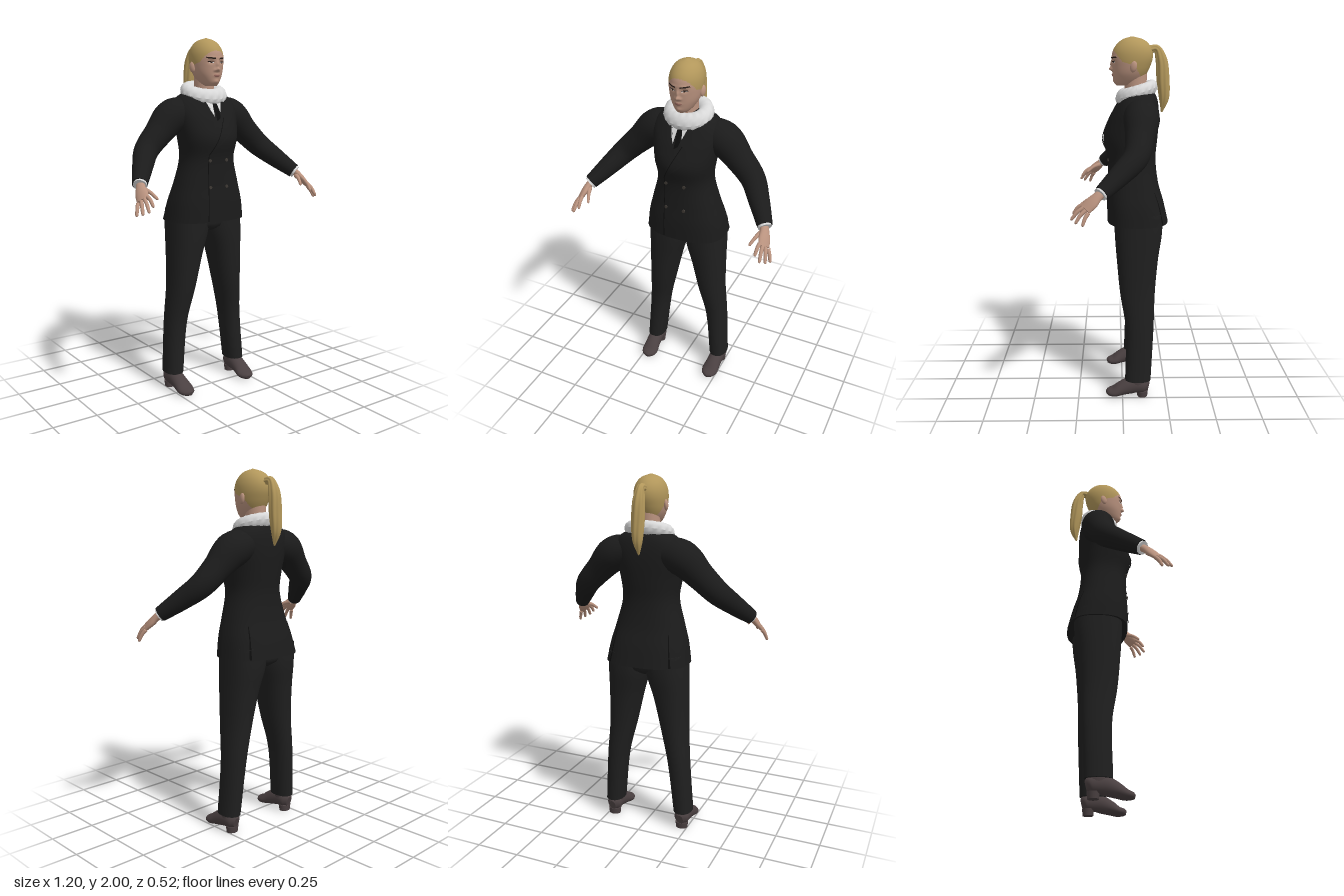
import * as THREE from 'three';

const mat = (name, color, double) => {
  const m = new THREE.MeshStandardMaterial({ color });
  m.name = name;
  if (double) m.side = THREE.DoubleSide;
  return m;
};
const V = (x, y, z) => new THREE.Vector3(x, y, z);

// Smoothly interpolates rows keyed by their first number
const sampler = rows => y => {
  let i = 0;
  while (i < rows.length - 2 && y > rows[i + 1][0]) i++;
  const a = rows[i], b = rows[i + 1], p = rows[i - 1] ?? a, n = rows[i + 2] ?? b;
  const h = b[0] - a[0], t = (y - a[0]) / h, t2 = t * t, t3 = t2 * t;
  return a.map((_, k) => (2 * t3 - 3 * t2 + 1) * a[k] + (3 * t2 - 2 * t3) * b[k]
    + (t3 - 2 * t2 + t) * h * (b[k] - p[k]) / (b[0] - p[0])
    + (t3 - t2) * h * (n[k] - a[k]) / (n[0] - a[0]));
};

// Skins a list of equal rings, with flat caps
function loft(rings) {
  const n = rings[0].length, pos = [], idx = [];
  const add = v => pos.push(v.x, v.y, v.z) / 3 - 1;
  rings.forEach(r => r.forEach(add));
  for (let i = 0; i < rings.length - 1; i++) for (let j = 0; j < n; j++) {
    const a = i * n + j, b = i * n + (j + 1) % n;
    idx.push(a, a + n, b, b, a + n, b + n);
  }
  [rings[0], rings.at(-1)].forEach((r, top) => {
    const c = add(r.reduce((s, v) => s.add(v), V(0, 0, 0)).divideScalar(n)), s = c + 1;
    r.forEach(add);
    for (let j = 0; j < n; j++) {
      const k = (j + 1) % n;
      idx.push(c, s + (top ? k : j), s + (top ? j : k));
    }
  });
  const g = new THREE.BufferGeometry();
  g.setAttribute('position', new THREE.Float32BufferAttribute(pos, 3));
  g.setIndex(idx);
  g.computeVertexNormals();
  return g;
}

// Upright body from rows [y, half width, front z, back z, centre x, squareness]
function body(rows, steps, n, bump = () => 0) {
  const at = sampler(rows), y0 = rows[0][0], y1 = rows.at(-1)[0], rings = [];
  const pw = (c, p) => Math.sign(c) * Math.abs(c) ** (2 / p);
  for (let i = 0; i <= steps; i++) {
    const y = y0 + (y1 - y0) * (0.5 - 0.5 * Math.cos(Math.PI * i / steps));
    const [, w, f, b, cx, p] = at(y);
    rings.push(Array.from({ length: n }, (_, j) => {
      const a = j / n * Math.PI * 2, x = w * pw(Math.cos(a), p), s = pw(Math.sin(a), p);
      return V(cx + x, y, (f + b) / 2 + s * (f - b) / 2 + (s > 0 ? bump(x, y) * Math.min(1, s * 2) : 0));
    }));
  }
  const surface = (x, y, side) => {
    const [, w, f, b, cx, p] = at(y);
    const s = Math.max(0, 1 - Math.abs((x - cx) / w) ** p) ** (1 / p);
    return (f + b) / 2 + side * s * (f - b) / 2 + (side > 0 ? bump(x, y) : 0);
  };
  return { geometry: loft(rings), surface };
}

// Limb along points [x, y, z, wide radius, thin radius], wide axis near ref
function limb(pts, ref, steps = 20, n = 20, ripple = 0) {
  const curve = new THREE.CatmullRomCurve3(pts.map(p => V(p[0], p[1], p[2])));
  const radii = sampler(pts.map((p, i) => [i, p[3], p[4] ?? p[3]]));
  const rings = [];
  for (let i = 0; i <= steps; i++) {
    const t = i / steps, c = curve.getPoint(t), d = curve.getTangent(t);
    const [, ru, rv] = radii(t * (pts.length - 1));
    const u = ref.clone().addScaledVector(d, -ref.dot(d)).normalize(), v = u.clone().cross(d);
    rings.push(Array.from({ length: n }, (_, j) => {
      const a = j / n * Math.PI * 2, k = 1 + ripple * Math.cos(a * 7 + t * 5);
      return c.clone().addScaledVector(u, ru * k * Math.cos(a)).addScaledVector(v, rv * k * Math.sin(a));
    }));
  }
  return loft(rings);
}

// Thin four-cornered plate laid over a body surface
function patch(surface, q, lift = 0.003, side = 1, n = 12) {
  const g = new THREE.PlaneGeometry(1, 1, n, n), p = g.attributes.position;
  for (let i = 0; i < p.count; i++) {
    const s = p.getX(i) + 0.5, t = 0.5 - p.getY(i);
    const [x, y] = [0, 1].map(k => (1 - t) * ((1 - s) * q[0][k] + s * q[1][k]) + t * ((1 - s) * q[3][k] + s * q[2][k]));
    p.setXYZ(i, x, y, surface(x, y, side) + side * lift);
  }
  g.computeVertexNormals();
  return g;
}

export function createModel() {
  const model = new THREE.Group();
  model.name = 'womanInSuit';
  const suit = mat('suitBlack', 0x1b1b1b, true), cloth = mat('trouserBlack', 0x1f1f1f);
  const seam = mat('seamBlack', 0x0d0d0d, true), skin = mat('skin', 0xba937f);
  const hair = mat('blondHair', 0xb2975b), white = mat('white', 0xd8d8d8, true);
  const shoe = mat('shoeBrown', 0x4a4041), dark = mat('browDark', 0x2b1f1a, true);
  const lip = mat('lipRose', 0x9c6d62, true), button = mat('buttonGrey', 0x3d3833);
  const put = (name, g, m) => {
    const mesh = new THREE.Mesh(g, m);
    mesh.name = name;
    model.add(mesh);
    return mesh;
  };
  const flip = (q, s) => q.map(([x, y]) => [x * s, y]);

  // Jacket
  const jacket = body([
    [0.99, 0.235, 0.083, -0.258, 0, 2.6], [1.1, 0.217, 0.085, -0.232, 0, 2.5],
    [1.2, 0.19, 0.08, -0.203, 0, 2.4], [1.34, 0.156, 0.08, -0.186, 0, 2.3],
    [1.45, 0.168, 0.104, -0.195, 0, 2.3], [1.55, 0.185, 0.072, -0.202, 0, 2.4],
    [1.62, 0.193, 0.036, -0.2, 0, 2.4], [1.675, 0.165, 0.005, -0.19, 0, 2.3],
    [1.71, 0.105, -0.02, -0.17, 0, 2], [1.73, 0.06, -0.03, -0.14, 0, 2]], 48, 56);
  put('jacket', jacket.geometry, suit);
  const onJacket = (name, q, m, lift, side) => put(name, patch(jacket.surface, q, lift, side), m);
  onJacket('tie', [[-0.013, 1.67], [0.013, 1.67], [0.016, 1.57], [-0.014, 1.55]], seam, 0.005);
  onJacket('leftLapel', [[0.045, 1.66], [0.115, 1.63], [0.085, 1.51], [-0.07, 1.37]], suit, 0.007);
  onJacket('rightLapel', [[-0.045, 1.66], [-0.115, 1.63], [-0.09, 1.5], [-0.02, 1.52]], suit, 0.006);
  onJacket('lapelEdge', [[0.03, 1.57], [0.034, 1.57], [-0.067, 1.37], [-0.072, 1.37]], seam, 0.008);
  onJacket('frontEdge', [[-0.072, 1.37], [-0.068, 1.37], [-0.073, 0.995], [-0.078, 0.995]], seam);
  for (const s of [1, -1]) {
    onJacket('shirtCollar', flip([[0.01, 1.67], [0.055, 1.66], [0.036, 1.6], [0.024, 1.575]], s), white, 0.006);
    onJacket('backVent', flip([[0.15, 1.17], [0.153, 1.17], [0.182, 0.995], [0.172, 0.995]], s), seam, 0.003, -1);
    for (const y of [1.335, 1.187]) {
      const x = s > 0 ? 0.046 : -0.062;
      const b = put('button', new THREE.CylinderGeometry(0.009, 0.009, 0.008, 16), button);
      b.rotation.x = Math.PI / 2;
      b.position.set(x, y, jacket.surface(x, y, 1) + 0.002);
    }
  }

  // Fluffy scarf, low at the front and high at the back
  const ring = new THREE.TorusGeometry(0.093, 0.044, 20, 72).rotateX(Math.PI / 2);
  const rp = ring.attributes.position;
  for (let i = 0; i < rp.count; i++) {
    const x = rp.getX(i), y = rp.getY(i), z = rp.getZ(i), a = Math.atan2(z, x);
    const k = 1 + 0.02 * Math.sin(a * 17) * Math.cos(y * 150);
    rp.setXYZ(i, x * k, 1.702 + y * k - z * 0.25, -0.078 + z * 0.83 * k);
  }
  ring.computeVertexNormals();
  put('scarf', ring, white);

  // Head, with face relief as [x, y, spread x, spread y, depth]
  const relief = [[0, 1.828, 0.010, 0.010, 0.018], [0, 1.852, 0.007, 0.018, 0.011],
    [0.015, 1.824, 0.006, 0.007, 0.006], [0.032, 1.868, 0.015, 0.010, -0.007],
    [0.03, 1.89, 0.025, 0.007, 0.003], [0, 1.796, 0.017, 0.008, 0.005], [0, 1.763, 0.017, 0.011, 0.005]];
  const bump = (x, y) => relief.reduce((s, [bx, by, sx, sy, d]) =>
    s + d * Math.exp(-(((Math.abs(x) - bx) / sx) ** 2) - ((y - by) / sy) ** 2), 0);
  const head = body([
    [1.74, 0.03, 0.03, -0.05, 0, 2], [1.755, 0.046, 0.041, -0.09, 0, 2], [1.775, 0.06, 0.047, -0.115, 0, 2],
    [1.805, 0.075, 0.051, -0.135, 0, 2], [1.84, 0.084, 0.054, -0.152, 0, 2], [1.885, 0.089, 0.057, -0.166, 0, 2],
    [1.925, 0.085, 0.05, -0.164, 0, 2], [1.96, 0.07, 0.028, -0.145, 0, 2],
    [1.985, 0.044, -0.004, -0.112, 0, 2], [2.0, 0.004, -0.05, -0.058, 0, 2]], 110, 110, bump);
  const hairline = z => z > 0 ? 1.868 + z * 1.25 : z > -0.07 ? 1.868 + z * 0.3 : Math.max(1.76, 1.847 + (z + 0.07) * 2);
  const hp = head.geometry.attributes.position, parts = [[], []], hi = head.geometry.index.array;
  for (let i = 0; i < hi.length; i += 3) {
    const tri = [...hi.slice(i, i + 3)];
    const my = tri.reduce((s, k) => s + hp.getY(k) / 3, 0), mz = tri.reduce((s, k) => s + hp.getZ(k) / 3, 0);
    parts[my > hairline(mz) ? 1 : 0].push(...tri);
  }
  parts.forEach((list, k) => {
    const g = head.geometry.clone();
    g.setIndex(list);
    put(k ? 'hair' : 'face', g, k ? hair : skin);
  });
  put('neck', body([[1.62, 0.06, -0.01, -0.14, 0, 2], [1.7, 0.055, -0.015, -0.135, 0, 2],
    [1.82, 0.055, -0.01, -0.135, 0, 2]], 10, 32).geometry, skin);
  const onFace = (name, q, m, lift = 0.0015) => put(name, patch(head.surface, q, lift, 1, 8), m);
  for (const s of [1, -1]) {
    onFace('eye', flip([[0.021, 1.869], [0.044, 1.871], [0.047, 1.864], [0.019, 1.862]], s), white);
    onFace('iris', flip([[0.028, 1.871], [0.038, 1.871], [0.037, 1.861], [0.029, 1.861]], s), dark, 0.0025);
    onFace('eyelash', flip([[0.018, 1.869], [0.05, 1.873], [0.053, 1.868], [0.018, 1.866]], s), dark, 0.0032);
    onFace('eyebrow', flip([[0.013, 1.89], [0.056, 1.895], [0.06, 1.888], [0.012, 1.882]], s), dark);
    const ear = put('ear', new THREE.SphereGeometry(1, 16, 12).scale(0.012, 0.03, 0.019), skin);
    ear.position.set(s * 0.087, 1.842, -0.06);
    ear.rotation.set(-0.2, s * -0.3, 0);
  }
  onFace('mouth', [[-0.021, 1.798], [0.021, 1.798], [0.013, 1.789], [-0.013, 1.789]], lip);
  onFace('upperLip', [[-0.012, 1.802], [0.012, 1.802], [0.022, 1.797], [-0.022, 1.797]], lip);

  // Ponytail
  put('ponytail', limb([[0, 1.93, -0.15, 0.022], [0, 1.935, -0.187, 0.02], [0, 1.875, -0.212, 0.031],
    [0, 1.77, -0.223, 0.034], [0, 1.67, -0.23, 0.026], [0, 1.595, -0.218, 0.004]], V(1, 0, 0), 36, 42, 0.07), hair);

  for (const s of [1, -1]) {
    const name = s > 0 ? 'left' : 'right';
    const m = pts => pts.map(([x, ...r]) => [x * s, ...r]);

    // Sleeve and cuff
    put(name + 'Sleeve', limb(m([[0.1, 1.6, -0.1, 0.085], [0.2, 1.572, -0.1, 0.096], [0.295, 1.485, -0.088, 0.077],
      [0.382, 1.4, -0.065, 0.067], [0.45, 1.325, 0.012, 0.056], [0.522, 1.245, 0.105, 0.041]]), V(0, 0, 1), 32, 28), suit);
    put(name + 'Cuff', limb(m([[0.51, 1.255, 0.095, 0.036], [0.526, 1.239, 0.114, 0.036]]), V(0, 0, 1), 3), white);

    // Hand
    const across = V(0.66 * s, -0.6, -0.44);
    put(name + 'Palm', limb(m([[0.515, 1.25, 0.1, 0.025, 0.021], [0.53, 1.228, 0.128, 0.027, 0.019],
      [0.541, 1.2, 0.157, 0.036, 0.018], [0.552, 1.172, 0.188, 0.034, 0.012]]), across), skin);
    [[[0.531, 1.193, 0.197], [0.525, 1.143, 0.25]], [[0.546, 1.181, 0.193], [0.556, 1.118, 0.26]],
      [[0.559, 1.169, 0.184], [0.581, 1.105, 0.238]], [[0.571, 1.157, 0.172], [0.597, 1.095, 0.202]],
      [[0.517, 1.22, 0.135], [0.48, 1.175, 0.218]]].forEach(([a, b], k) => {
      const mid = a.map((v, i) => (v + b[i]) / 2 + (i === 1 ? 0.008 : 0));
      const tip = a.map((v, i) => v + (b[i] - v) * 0.92);
      put(name + (k === 4 ? 'Thumb' : 'Finger'), limb(m([[...a, k === 4 ? 0.015 : 0.0105], [...mid, 0.0098],
        [...tip, 0.0075], [...b, 0.002]]), across, 12, 12), skin);
    });

    // Trouser leg
    const leg = [[0.1, 0.053, -0.015, -0.16, 0.217, 2.2], [0.4, 0.06, -0.018, -0.175, 0.19, 2.2],
      [0.6, 0.075, 0.013, -0.182, 0.16, 2.2], [0.8, 0.095, 0.032, -0.2, 0.135, 2.3],
      [0.93, 0.112, 0.042, -0.22, 0.115, 2.4], [1.05, 0.115, 0.045, -0.225, 0.108, 2.4]];
    put(name + 'TrouserLeg', body(leg.map(r => r.map((v, i) => i === 4 ? v * s : v)), 32, 36).geometry, cloth);

    // Shoe with arched sole and heel block
    const g = limb(m([[0.217, 0.06, -0.148, 0.02, 0.03], [0.217, 0.066, -0.125, 0.041, 0.046],
      [0.217, 0.066, -0.06, 0.043, 0.05], [0.215, 0.046, 0.0, 0.046, 0.04], [0.212, 0.026, 0.045, 0.05, 0.028],
      [0.208, 0.02, 0.078, 0.036, 0.02], [0.206, 0.016, 0.092, 0.012, 0.012]]), V(s, 0, 0).multiplyScalar(s), 32, 28);
    const p = g.attributes.position;
    for (let i = 0; i < p.count; i++) {
      const arch = THREE.MathUtils.smoothstep(-p.getZ(i), 0.01, 0.08) * 0.026;
      p.setY(i, Math.max(p.getY(i), arch));
    }
    g.computeVertexNormals();
    put(name + 'Shoe', g, shoe);
    put(name + 'Heel', new THREE.CylinderGeometry(0.038, 0.034, 0.035, 24).scale(1, 1, 0.85), shoe)
      .position.set(0.217 * s, 0.0175, -0.113);
    put(name + 'Ankle', new THREE.CylinderGeometry(0.042, 0.042, 0.08, 24).scale(1, 1, 1.3), shoe)
      .position.set(0.217 * s, 0.1, -0.088);
  }

  // Seat joining the legs
  put('trouserSeat', body([[0.93, 0.04, 0.0, -0.17, 0, 2], [0.96, 0.13, 0.032, -0.21, 0, 2.2],
    [1.05, 0.18, 0.04, -0.22, 0, 2.4]], 10, 36).geometry, cloth);
  return model;
}
